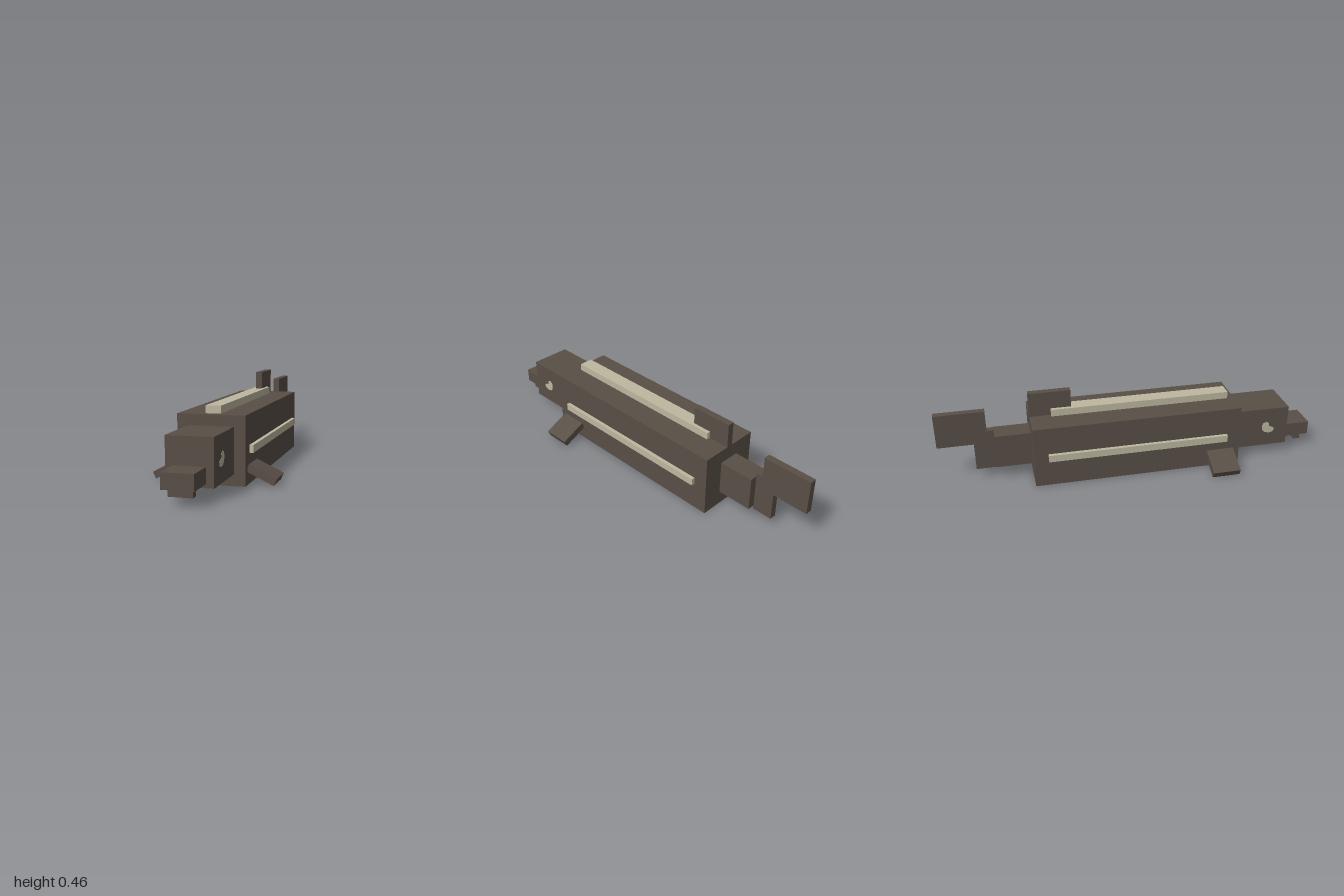
import * as THREE from 'three';

export function createModel() {
  const model = new THREE.Group();
  model.name = 'blockFish';

  const hide = new THREE.MeshStandardMaterial({ color: 0x594f46 });
  hide.name = 'dark brown hide';
  const bone = new THREE.MeshStandardMaterial({ color: 0xbeb8a0 });
  bone.name = 'pale bone';
  // Brown box with a pale underside (fourth face of a box is the bottom)
  const paleBelly = [hide, hide, hide, bone, hide, hide];

  const add = (name, geometry, material) => {
    const mesh = new THREE.Mesh(geometry, material);
    mesh.name = name;
    model.add(mesh);
    return mesh;
  };

  // Box given by its lower and upper limits on each axis
  const box = (name, material, [x0, x1], [y0, y1], [z0, z1]) => {
    const mesh = add(name, new THREE.BoxGeometry(x1 - x0, y1 - y0, z1 - z0), material);
    mesh.position.set((x0 + x1) / 2, (y0 + y1) / 2, (z0 + z1) / 2);
    return mesh;
  };

  // Trunk, head and tail
  box('body', paleBelly, [-0.163, 0.163], [0, 0.327], [-0.526, 0.563]);
  box('head', paleBelly, [-0.109, 0.109], [0.055, 0.274], [0.563, 0.855]);
  box('snout', paleBelly, [-0.073, 0.073], [0.073, 0.146], [0.855, 1]);
  box('lowerLip', hide, [-0.055, 0.055], [0.037, 0.073], [0.93, 0.965]);
  box('tailBase', paleBelly, [-0.055, 0.055], [0.075, 0.254], [-0.71, -0.526]);

  // Plates along the back and the dorsal fin
  box('backPlate', bone, [-0.037, 0.037], [0.327, 0.364], [-0.415, 0.527]);
  box('dorsalFin', hide, [-0.0175, 0.0175], [0.327, 0.456], [-0.526, -0.31]);

  // Stepped tail fin, drawn in (-z, y) and turned to lie in the middle plane
  const finOutline = [
    [0.71, 0.055], [0.815, 0.055], [0.815, 0.202], [1, 0.202],
    [1, 0.383], [0.745, 0.383], [0.745, 0.273], [0.71, 0.273],
  ].map(([z, y]) => new THREE.Vector2(z, y));
  const finGeometry = new THREE.ExtrudeGeometry(new THREE.Shape(finOutline), { depth: 0.035, bevelEnabled: false });
  finGeometry.translate(0, 0, -0.0175).rotateY(Math.PI / 2);
  add('tailFin', finGeometry, hide);

  // Eye outline in (-z, y): a rounded comma
  const eyeOutline = [
    [-0.782, 0.152], [-0.775, 0.135], [-0.755, 0.128], [-0.728, 0.134], [-0.714, 0.15],
    [-0.71, 0.175], [-0.718, 0.19], [-0.733, 0.196], [-0.748, 0.188], [-0.751, 0.168], [-0.768, 0.163],
  ].map(([z, y]) => new THREE.Vector2(z, y));
  const eyeGeometry = new THREE.ExtrudeGeometry(new THREE.Shape(eyeOutline), { depth: 0.002, bevelEnabled: false });
  eyeGeometry.translate(0, 0, -0.001).rotateY(Math.PI / 2);

  // Paired parts
  for (const [side, s] of [['left', 1], ['right', -1]]) {
    const plate = box(side + 'SidePlate', bone, [0.163, 0.182], [0.145, 0.182], [-0.453, 0.49]);
    plate.position.x *= s;

    const flipper = add(side + 'Flipper', new THREE.BoxGeometry(0.146, 0.036, 0.146), hide);
    flipper.position.set(s * 0.229, 0.051, 0.455);
    flipper.rotation.z = -s * 0.436;

    add(side + 'Eye', eyeGeometry, bone).position.x = s * 0.109;
  }

  return model;
}
